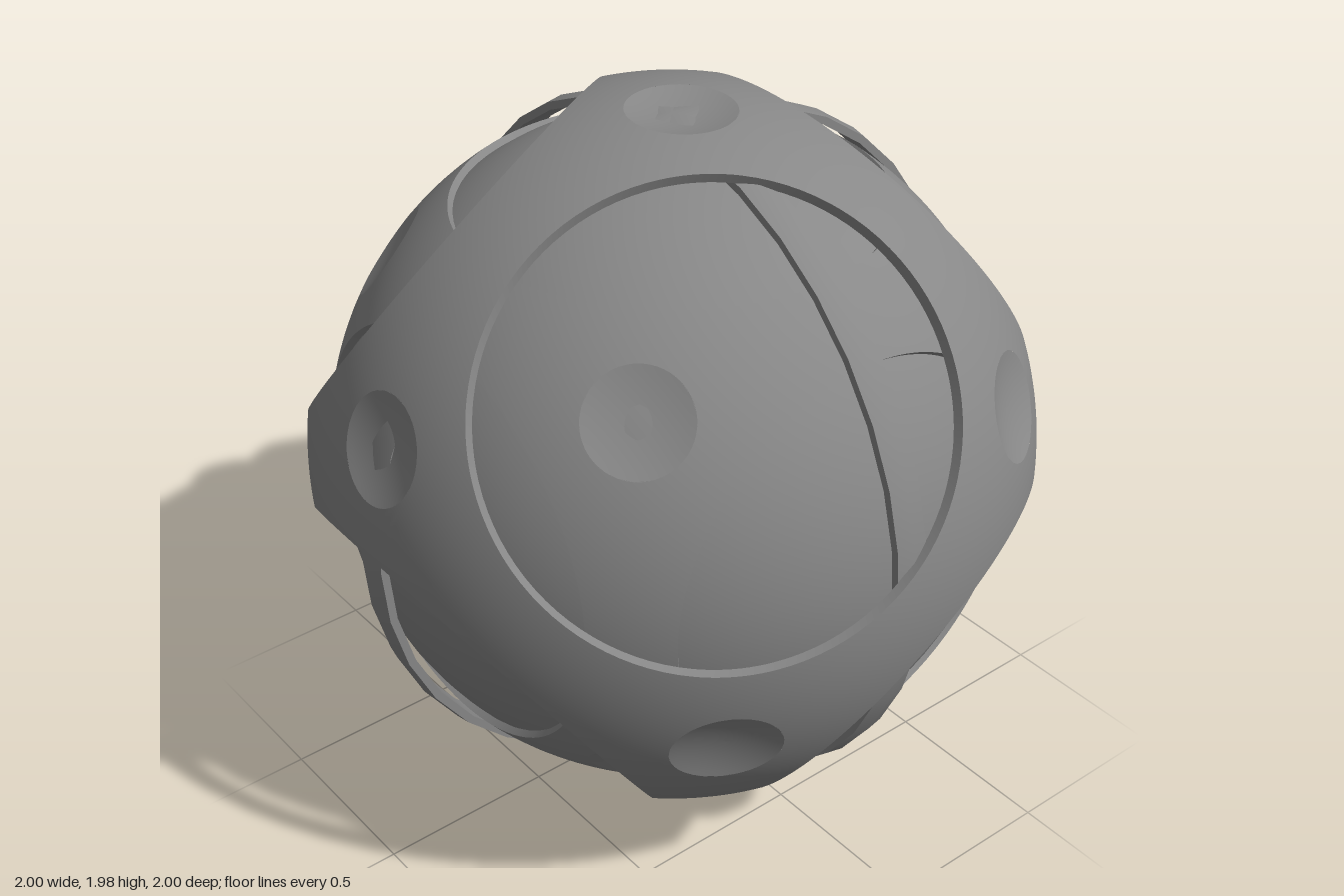
import * as THREE from 'three';
import { mergeGeometries, toCreasedNormals } from 'three/addons/utils/BufferGeometryUtils.js';

const V = (x, y, z) => new THREE.Vector3(x, y, z);
const grey = new THREE.MeshStandardMaterial({ color: 0x888888 });
grey.name = 'grey';

// Quad grid from a point rule; flip is +1 / -1 for sphere normals, 0 for computed ones
function grid(us, nv, point, flip) {
  const pos = [], nor = [], idx = [], w = nv + 1;
  us.forEach((u, i) => {
    for (let j = 0; j <= nv; j++) {
      const p = point(u, j / nv);
      pos.push(p.x, p.y, p.z);
      const n = p.clone().normalize().multiplyScalar(flip || 1);
      nor.push(n.x, n.y, n.z);
      if (i < us.length - 1 && j < nv) {
        const a = i * w + j, b = a + 1, d = a + w, c = d + 1;
        if (flip < 0) idx.push(a, d, b, b, d, c);
        else idx.push(a, b, d, b, c, d);
      }
    }
  });
  const g = new THREE.BufferGeometry();
  g.setAttribute('position', new THREE.Float32BufferAttribute(pos, 3));
  g.setAttribute('normal', new THREE.Float32BufferAttribute(nor, 3));
  g.setIndex(idx);
  if (!flip) g.computeVertexNormals();
  return g;
}

// Spherical shell with six round openings on the cube axes and dished spots on the cube corners
function makeShell(name, R, Ri, holeR, spotR, dishDepth) {
  const group = new THREE.Group();
  group.name = name;
  const alpha = Math.asin(holeR / R), delta = Math.asin(spotR / R);

  // Angles round an opening, with samples exactly where the spot rims meet the patch edges
  const phiT = Math.atan(Math.SQRT2 * Math.tan(Math.atan(Math.SQRT1_2) - delta));
  const phis = [];
  for (let q = 0; q < 4; q++) {
    const stops = [0, phiT, Math.PI / 2 - phiT, Math.PI / 2];
    for (let s = 0; s < 3; s++)
      for (let k = 0; k < 10; k++)
        phis.push(q * Math.PI / 2 + stops[s] + (stops[s + 1] - stops[s]) * k / 10);
  }
  phis.push(Math.PI * 2);

  // Outer limit of a patch: the cube edge or the rim of a corner spot
  function limit(phi) {
    const c = Math.abs(Math.cos(phi)), s = Math.abs(Math.sin(phi));
    const edge = Math.atan(1 / Math.max(c, s));
    const A = 1 / Math.sqrt(3), B = (c + s) / Math.sqrt(3);
    const k = Math.cos(delta) / Math.hypot(A, B);
    return k < 1 ? Math.min(edge, Math.atan2(B, A) - Math.acos(k)) : edge;
  }

  const parts = [];
  for (let axis = 0; axis < 3; axis++) for (const sign of [1, -1]) {
    const n = V(0, 0, 0).setComponent(axis, sign);
    const u = V(0, 0, 0).setComponent((axis + 1) % 3, 1);
    const v = n.clone().cross(u);
    const at = (r, theta, phi) => n.clone().multiplyScalar(r * Math.cos(theta))
      .addScaledVector(u, r * Math.sin(theta) * Math.cos(phi))
      .addScaledVector(v, r * Math.sin(theta) * Math.sin(phi));
    const span = (phi, t) => alpha + (limit(phi) - alpha) * t;
    parts.push(grid(phis, 6, (p, t) => at(R, span(p, t), p), 1));
    parts.push(grid(phis, 6, (p, t) => at(Ri, span(p, t), p), -1));
    parts.push(grid(phis, 1, (p, t) => at(Ri + (R - Ri) * t, alpha, p), 0));
  }
  const body = new THREE.Mesh(mergeGeometries(parts), grey);
  body.name = name + 'Body';
  group.add(body);

  // Shallow dishes in the corner spots
  const profile = [];
  for (let i = 0; i <= 8; i++) {
    const s = 1 - i / 8;
    profile.push(new THREE.Vector2(spotR * s, R * Math.cos(delta) - dishDepth * (1 - s * s)));
  }
  const dishGeo = new THREE.LatheGeometry(profile, 48);
  for (const x of [1, -1]) for (const y of [1, -1]) for (const z of [1, -1]) {
    const dish = new THREE.Mesh(dishGeo, grey);
    dish.name = name + 'Dish';
    dish.quaternion.setFromUnitVectors(V(0, 1, 0), V(x, y, z).normalize());
    group.add(dish);
  }
  return group;
}

export function createModel() {
  const model = new THREE.Group();
  model.name = 'nestedSphere';
  const ball = new THREE.Group();
  ball.name = 'ball';
  ball.position.y = 1;
  model.add(ball);

  // Solid core
  const core = new THREE.Mesh(new THREE.SphereGeometry(0.92, 64, 48), grey);
  core.name = 'core';
  ball.add(core);

  // Inner shell, square to the axes
  ball.add(makeShell('innerShell', 0.94, 0.915, 0.58, 0.14, 0.012));

  // Outer shell, standing on a cube corner with a slight lean
  const outer = makeShell('outerShell', 1.0, 0.972, 0.609, 0.147, 0.02);
  const a = Math.SQRT1_2, b = 1 / Math.sqrt(3), c = 1 / Math.sqrt(6);
  const stand = new THREE.Matrix4().makeBasis(V(-a, b, c), V(a, b, c), V(0, b, -2 * c));
  const lean = new THREE.Matrix4().makeRotationFromEuler(new THREE.Euler(-0.018, 0, -0.016));
  outer.quaternion.setFromRotationMatrix(lean.multiply(stand));
  ball.add(outer);

  // Two crossed bands between the shells
  const h = 0.047;
  const section = [[0.95, -h], [0.972, -h], [0.98, 0], [0.972, h], [0.95, h], [0.95, -h]]
    .map(([r, y]) => new THREE.Vector2(r, y));
  const bandGeo = toCreasedNormals(new THREE.LatheGeometry(section, 36), 0.6);
  const bands = new THREE.Group();
  bands.name = 'bands';
  bands.rotation.y = -0.019;
  for (const [name, rx, rz] of [['sideBand', Math.PI / 2, 0], ['frontBand', 0, Math.PI / 2]]) {
    const band = new THREE.Mesh(bandGeo, grey);
    band.name = name;
    band.rotation.set(rx, 0, rz);
    bands.add(band);
  }
  ball.add(bands);
  return model;
}
